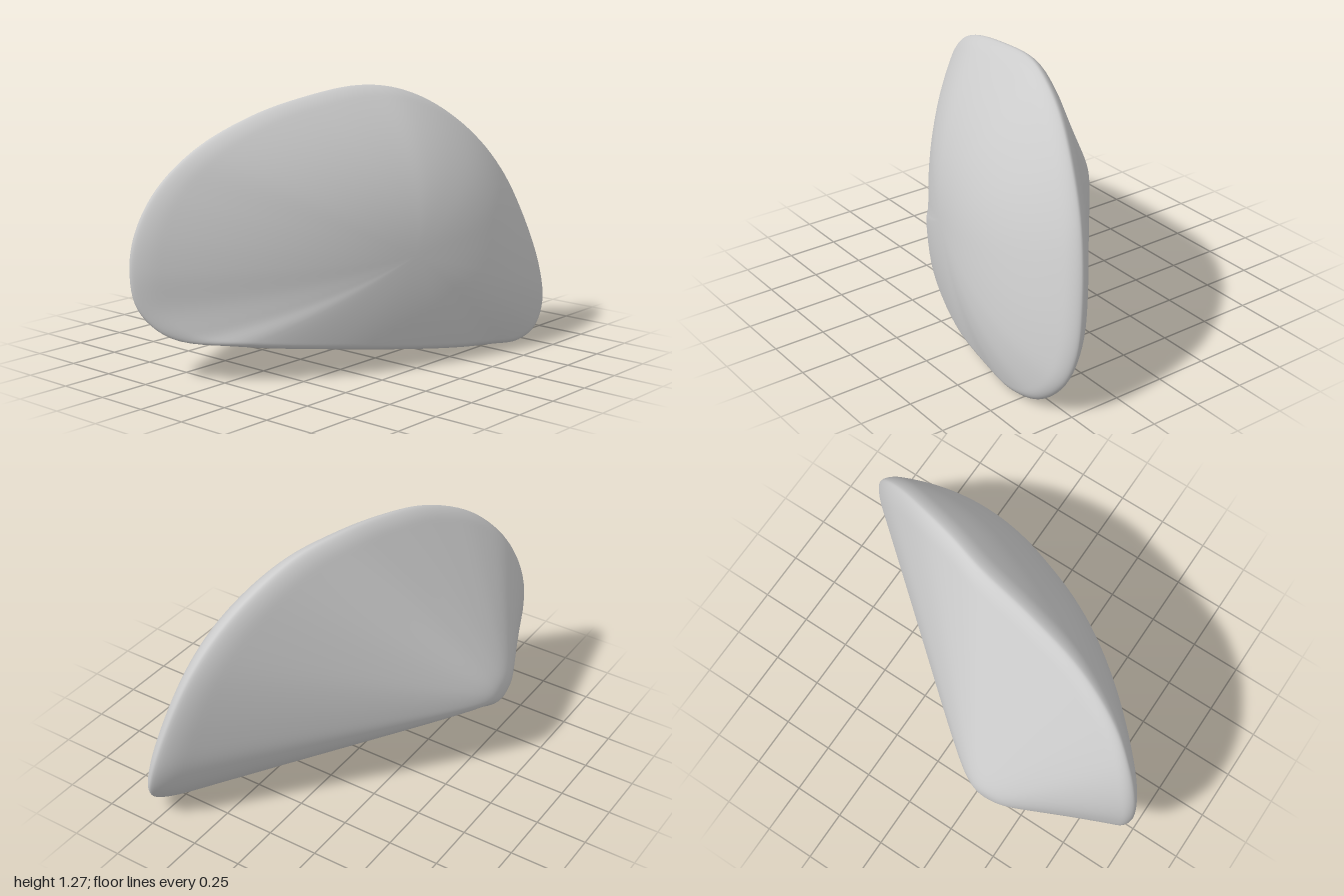
import * as THREE from 'three';
import { mergeVertices } from 'three/addons/utils/BufferGeometryUtils.js';

// Rim between the domed face and the tapering back: [x, y, z], counter-clockwise seen from +x
const RIM = [
  [0.055, 1.27, -0.1], [0.0, 1.24, 0.2], [-0.065, 1.17, 0.5], [-0.16, 1.04, 0.75],
  [-0.25, 0.87, 0.9], [-0.305, 0.68, 0.98], [-0.325, 0.5, 1], [-0.31, 0.32, 0.97],
  [-0.2, 0.2, 0.89], [0.04, 0.165, 0.7], [0.32, 0.12, 0.3], [0.51, 0.055, -0.2],
  [0.555, 0.02, -0.5], [0.565, 0, -0.7], [0.555, 0.04, -0.86], [0.52, 0.15, -0.97],
  [0.475, 0.3, -1], [0.42, 0.52, -0.96], [0.345, 0.8, -0.85], [0.275, 1.0, -0.7],
  [0.19, 1.16, -0.5], [0.12, 1.245, -0.3],
];
const APEX = new THREE.Vector3(-0.6, 0.38, 0.35);
const CENTER = { y: 0.53, z: 0 };
const COLUMNS = 132, FACE_ROWS = 36, BACK_ROWS = 44;

// Quarter-round used to soften the rim: rises from 0 to 0.03 over the given span
const roundEdge = (d, span) => 0.03 * Math.sqrt(1 - (1 - Math.min(d / span, 1)) ** 2);

// Domed face: a leaning plane that curls back to meet the rim at t = 1
function facePoint(rim, t) {
  const plane = (y, z) => 0.46 - 0.36 * z - 0.11 * (y - CENTER.y);
  const y = THREE.MathUtils.lerp(CENTER.y, rim.y, t);
  const z = THREE.MathUtils.lerp(CENTER.z, rim.z, t);
  const curl = (rim.x - plane(rim.y, rim.z)) * t ** 2.2;
  return new THREE.Vector3(plane(y, z) + curl + roundEdge(1 - t, 0.06), y, z);
}

// Back: near-straight ribs from the rim that round over into the blunt apex
function backRib(rim) {
  const angle = Math.atan2(rim.y - APEX.y, rim.z - APEX.z);
  const shoulder = new THREE.Vector3(
    APEX.x, APEX.y + 0.1 * Math.sin(angle), APEX.z + 0.14 * Math.cos(angle));
  const neck = shoulder.clone();
  neck.x += 0.05;
  return new THREE.CubicBezierCurve3(rim, neck, shoulder, APEX);
}

function backPoint(rib, u) {
  const p = rib.getPoint(u);
  p.x -= roundEdge(u, 0.025) * (1 - u) ** 2;
  return p;
}

function shellGeometry() {
  const curve = new THREE.CatmullRomCurve3(RIM.map((p) => new THREE.Vector3(...p)), true);
  const rows = FACE_ROWS + BACK_ROWS;
  const positions = [], index = [];
  for (let j = 0; j < COLUMNS; j++) {
    const rim = curve.getPoint(j / COLUMNS);
    const rib = backRib(rim);
    for (let i = 0; i <= rows; i++) {
      const p = i <= FACE_ROWS
        ? facePoint(rim, Math.sin((i / FACE_ROWS) * Math.PI / 2))
        : backPoint(rib, ((i - FACE_ROWS) / BACK_ROWS) ** 2);
      positions.push(p.x, p.y, p.z);
    }
  }
  const id = (i, j) => (j % COLUMNS) * (rows + 1) + i;
  for (let j = 0; j < COLUMNS; j++) {
    for (let i = 0; i < rows; i++) {
      const a = id(i, j), b = id(i + 1, j), c = id(i + 1, j + 1), d = id(i, j + 1);
      if (i < rows - 1) index.push(a, b, c);
      else index.push(a, b, d);
      if (i > 0 && i < rows - 1) index.push(a, c, d);
    }
  }
  const geometry = new THREE.BufferGeometry();
  geometry.setAttribute('position', new THREE.Float32BufferAttribute(positions, 3));
  geometry.setIndex(index);
  const merged = mergeVertices(geometry, 1e-5);
  merged.computeVertexNormals();
  return merged;
}

export function createModel() {
  const group = new THREE.Group();
  group.name = 'curvedShell';
  const shell = new THREE.Mesh(shellGeometry(), new THREE.MeshStandardMaterial({ color: 0xcccccc }));
  shell.name = 'domedShell';
  group.add(shell);
  return group;
}
